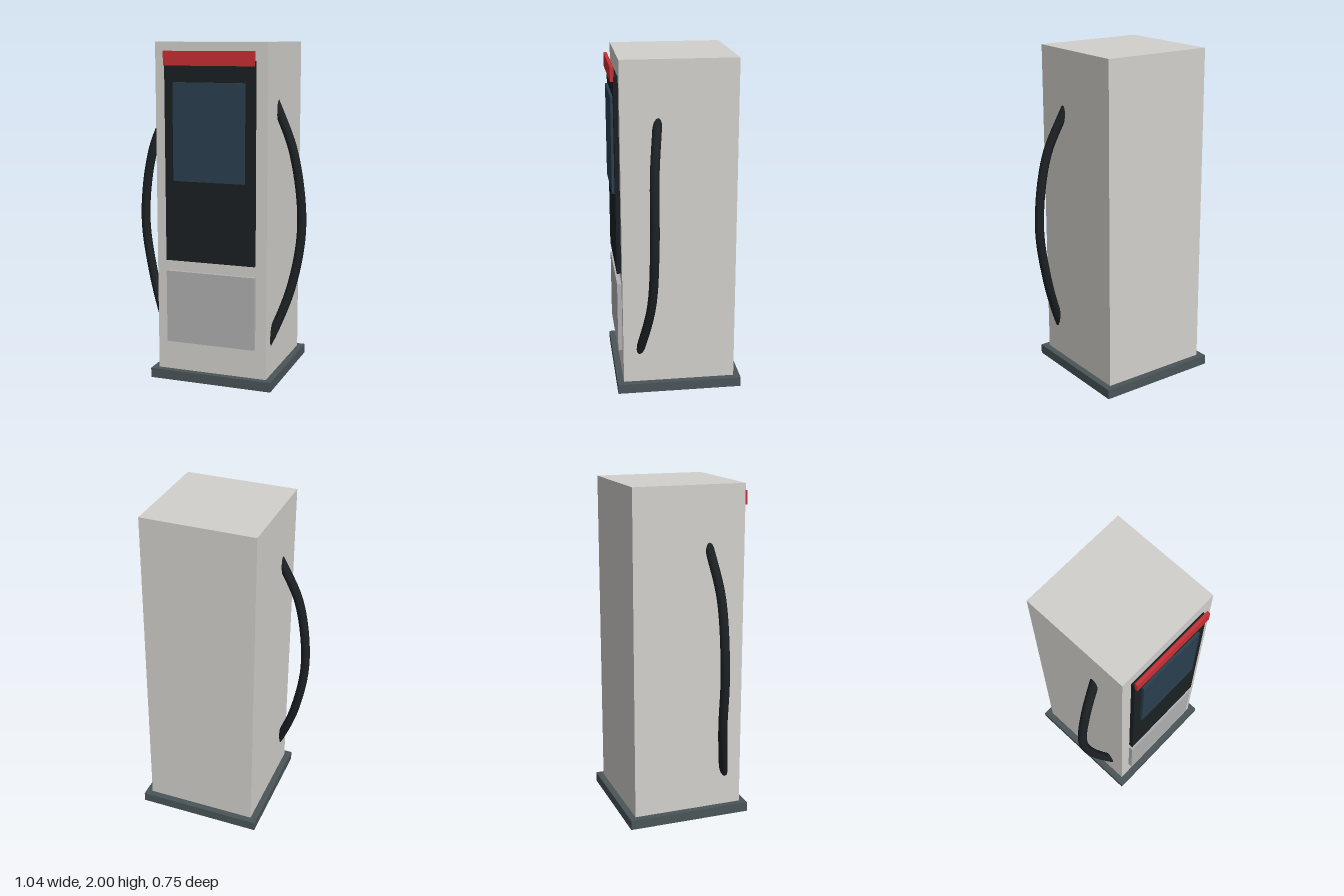
import * as THREE from 'three';

const mat = (color) => new THREE.MeshStandardMaterial({ color });

// Box given by its extents on each axis
function box(name, material, [x0, x1], [y0, y1], [z0, z1]) {
  const mesh = new THREE.Mesh(new THREE.BoxGeometry(x1 - x0, y1 - y0, z1 - z0), material);
  mesh.position.set((x0 + x1) / 2, (y0 + y1) / 2, (z0 + z1) / 2);
  mesh.name = name;
  return mesh;
}

// Bowed hose whose ends sink into the side wall of the cabinet
function hose(name, material, side) {
  const path = new THREE.CatmullRomCurve3([
    [0.305, 0.23, 0.24], [0.34, 0.305, 0.222], [0.44, 0.59, 0.172], [0.494, 0.955, 0.158],
    [0.44, 1.37, 0.15], [0.34, 1.61, 0.124], [0.305, 1.68, 0.115],
  ].map(([x, y, z]) => new THREE.Vector3(side * x, y, z)));
  const mesh = new THREE.Mesh(new THREE.TubeGeometry(path, 40, 0.027, 12), material);
  mesh.name = name;
  return mesh;
}

export function createModel() {
  const group = new THREE.Group();
  group.name = 'chargingStation';

  const shell = mat(0xd3d1cc);
  const plinth = mat(0x4a5559);
  const black = mat(0x1b2023);
  const rubber = mat(0x1c2124);

  // Cabinet on its plinth
  group.add(
    box('basePlate', plinth, [-0.377, 0.377], [0, 0.058], [-0.377, 0.37]),
    box('cabinet', shell, [-0.338, 0.338], [0.01, 2], [-0.338, 0.332]),
  );

  // Front face, layered outwards
  group.add(
    box('frontPanel', black, [-0.272, 0.272], [0.735, 1.895], [0.325, 0.358]),
    box('screen', mat(0x2a4050), [-0.216, 0.216], [1.21, 1.775], [0.35, 0.373]),
    box('headerStrip', mat(0xc83035), [-0.272, 0.272], [1.868, 1.95], [0.355, 0.375]),
    box('lowerPanel', mat(0xb1b1b1), [-0.272, 0.272], [0.237, 0.67], [0.325, 0.358]),
  );

  // Side hoses
  group.add(hose('leftHose', rubber, 1), hose('rightHose', rubber, -1));

  return group;
}
